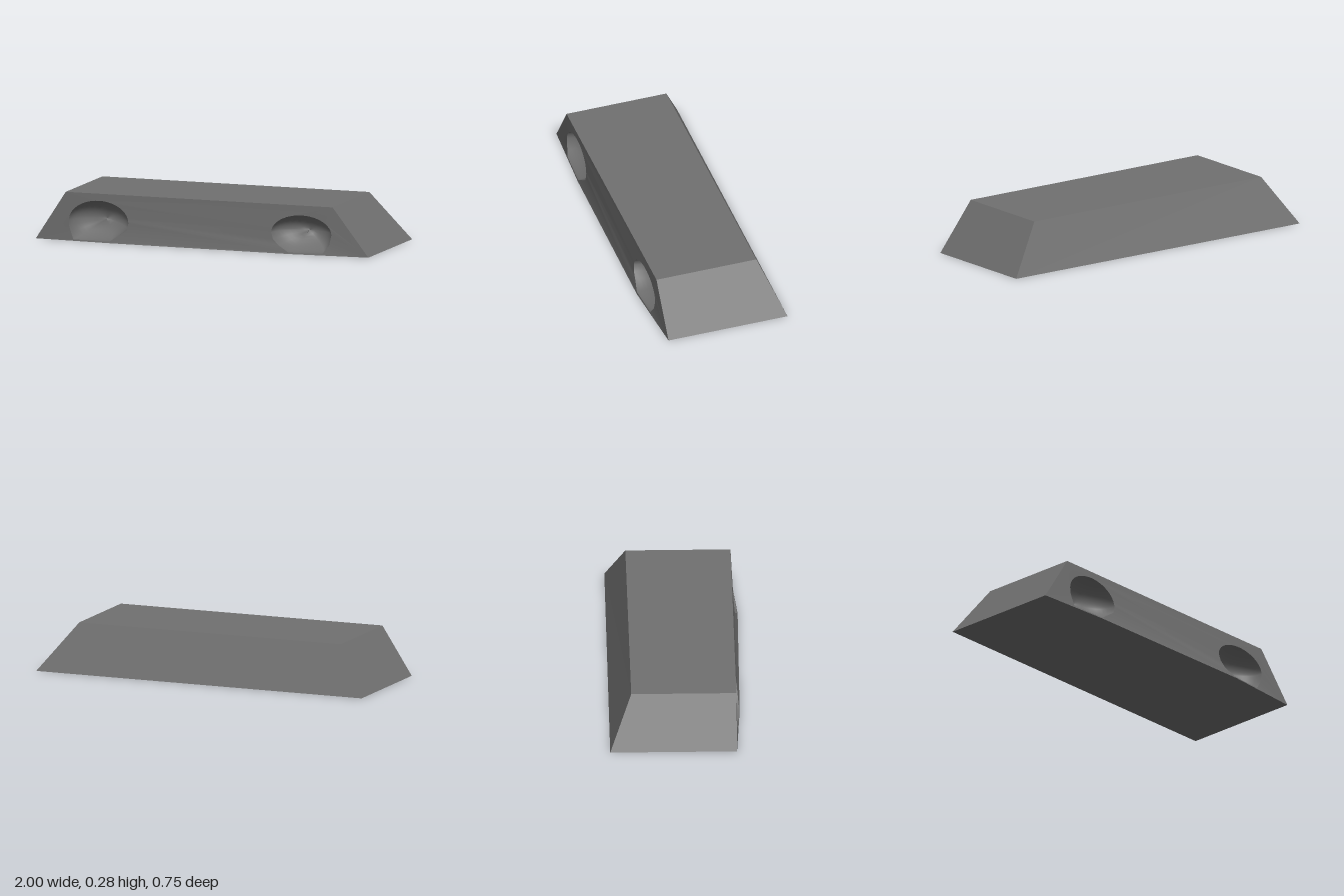
import * as THREE from 'three';

const H = 0.275, FRONT = 0.34;
const { lerp } = THREE.MathUtils;

// Front skin depth: bulges gently at mid width, with a small lip at the bottom
function frontZ(x, y) {
  const bulge = x < -0.55 ? 0.024 * (x + 1) / 0.45
    : x > 0.54 ? 0.035 * (1 - x) / 0.46
    : lerp(0.024, 0.035, (x + 0.55) / 1.09);
  const fade = y < 0.03 ? lerp(1, 0.6, y / 0.03) : 0.6 * (H - y) / (H - 0.03);
  return FRONT + bulge * fade;
}

// Flat-sided shell from convex polygons
function polygons(list) {
  const pos = [];
  for (const p of list) {
    for (let i = 1; i < p.length - 1; i++) pos.push(...p[0], ...p[i], ...p[i + 1]);
  }
  const g = new THREE.BufferGeometry();
  g.setAttribute('position', new THREE.Float32BufferAttribute(pos, 3));
  g.computeVertexNormals();
  return g;
}

// Counter-clockwise opening outline: elliptical top, angular bottom
function outline(cx, cy, rx, ry, bottom) {
  const pts = [];
  for (let i = 0; i <= 24; i++) {
    const a = Math.PI * i / 24;
    pts.push(new THREE.Vector2(cx + rx * Math.cos(a), cy + ry * Math.sin(a)));
  }
  for (const [x, y] of bottom) pts.push(new THREE.Vector2(x, y));
  return pts;
}

// Rounded recess running back from an opening
function bowl(rim, cx, cy, depth) {
  const rings = 10, n = rim.length, pos = [], index = [];
  for (let k = 0; k <= rings; k++) {
    const a = Math.PI / 2 * k / rings, s = Math.cos(a);
    for (const p of rim) {
      pos.push(cx + (p.x - cx) * s, cy + (p.y - cy) * s, frontZ(p.x, p.y) - depth * Math.sin(a));
    }
  }
  for (let k = 0; k < rings; k++) {
    for (let j = 0; j < n; j++) {
      const a = k * n + j, b = k * n + (j + 1) % n;
      index.push(a, b, b + n, a, b + n, a + n);
    }
  }
  const g = new THREE.BufferGeometry();
  g.setAttribute('position', new THREE.Float32BufferAttribute(pos, 3));
  g.setIndex(index);
  g.computeVertexNormals();
  return g;
}

export function createModel() {
  const group = new THREE.Group();
  const grey = new THREE.MeshStandardMaterial({ color: 0x707070 });
  grey.name = 'grey';
  const add = (name, geometry) => {
    const mesh = new THREE.Mesh(geometry, grey);
    mesh.name = name;
    group.add(mesh);
  };

  // Body: sloped ends and back, flat top and underside
  const A = [-1, 0, FRONT], B = [1, 0, FRONT], C = [1, 0, -0.367], D = [-1, 0, -0.375];
  const a = [-0.82, H, FRONT], b = [0.785, H, FRONT], c = [0.785, H, -0.253], d = [-0.82, H, -0.253];
  const m1 = [-0.55, 0, frontZ(-0.55, 0)], m2 = [0.54, 0, frontZ(0.54, 0)];
  add('body', polygons([
    [a, b, c, d],
    [B, C, c, b],
    [C, D, d, c],
    [D, A, a, d],
    [A, D, C, B, m2, m1],
  ]));

  // Two recessed openings
  const openings = [
    { name: 'rightRecess', cx: -0.62, cy: 0.115,
      rim: outline(-0.62, 0.115, 0.18, 0.12,
        [[-0.797, 0.08], [-0.785, 0.045], [-0.77, 0.008], [-0.55, 0.008], [-0.45, 0.075]]) },
    { name: 'leftRecess', cx: 0.6, cy: 0.115,
      rim: outline(0.6, 0.115, 0.18, 0.104,
        [[0.432, 0.078], [0.465, 0.045], [0.53, 0.008], [0.73, 0.008], [0.768, 0.06]]) },
  ];

  // Front skin with the openings cut out
  const face = new THREE.Shape([A, m1, m2, B, b, a].map(p => new THREE.Vector2(p[0], p[1])));
  for (const o of openings) face.holes.push(new THREE.Path(o.rim));
  const skin = new THREE.ShapeGeometry(face);
  const p = skin.attributes.position;
  for (let i = 0; i < p.count; i++) p.setZ(i, frontZ(p.getX(i), p.getY(i)));
  skin.computeVertexNormals();
  add('frontPanel', skin);

  for (const o of openings) add(o.name, bowl(o.rim, o.cx, o.cy, 0.14));
  return group;
}
